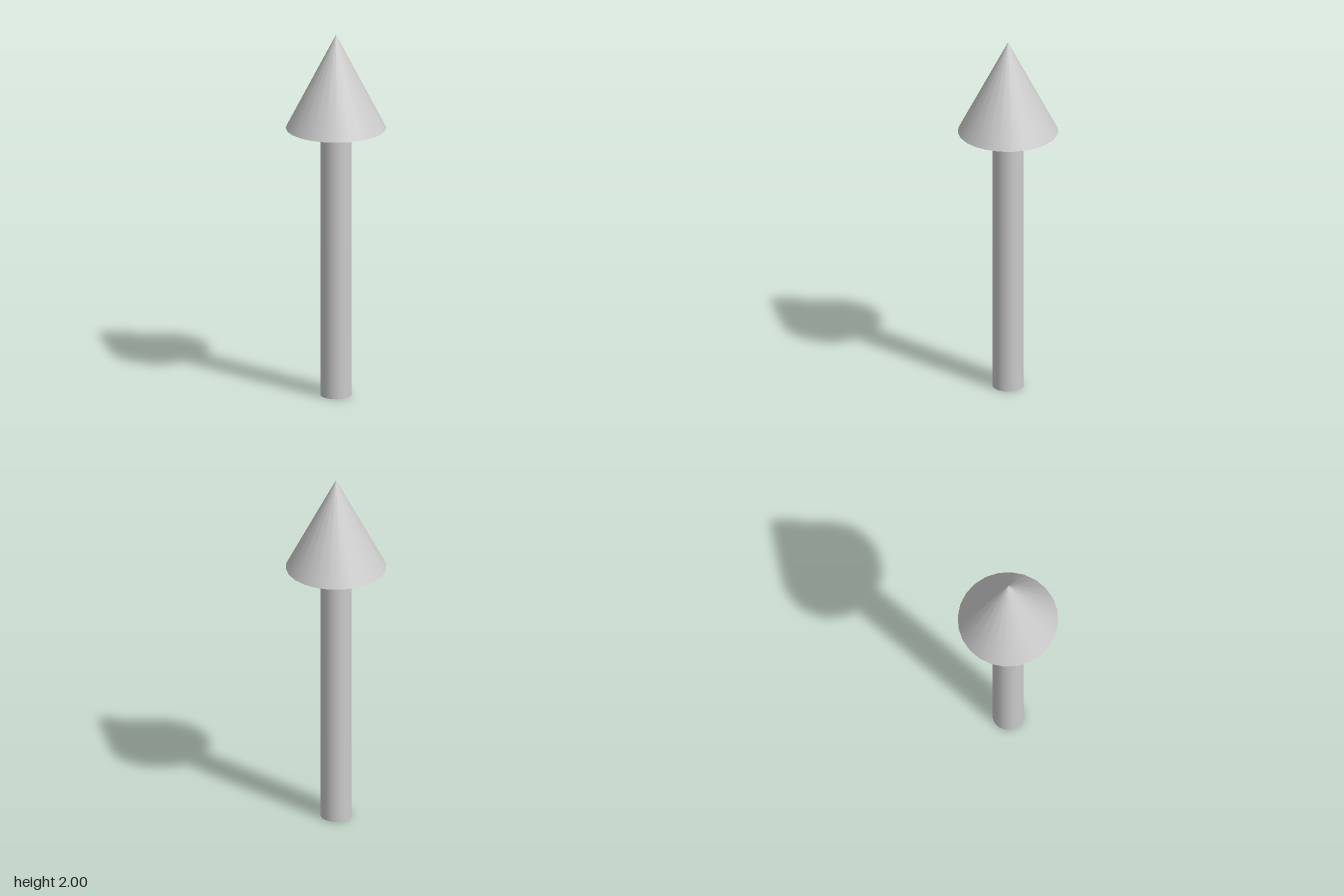
import * as THREE from 'three';

const SIDES = 24;
const HEIGHT = 2;
const HEAD_BASE = 1.483;

export function createModel() {
  const model = new THREE.Group();
  model.name = 'upArrow';
  const material = new THREE.MeshStandardMaterial({ color: 0xcccccc });

  // Round shaft standing on the ground, ending at the underside of the head
  const shaft = new THREE.Mesh(
    new THREE.CylinderGeometry(0.083, 0.083, HEAD_BASE, SIDES), material);
  shaft.name = 'shaft';
  shaft.position.y = HEAD_BASE / 2;

  // Conical head with a closed base
  const headHeight = HEIGHT - HEAD_BASE;
  const head = new THREE.Mesh(
    new THREE.ConeGeometry(0.267, headHeight, SIDES), material);
  head.name = 'head';
  head.position.y = HEAD_BASE + headHeight / 2;

  model.add(shaft, head);
  return model;
}
